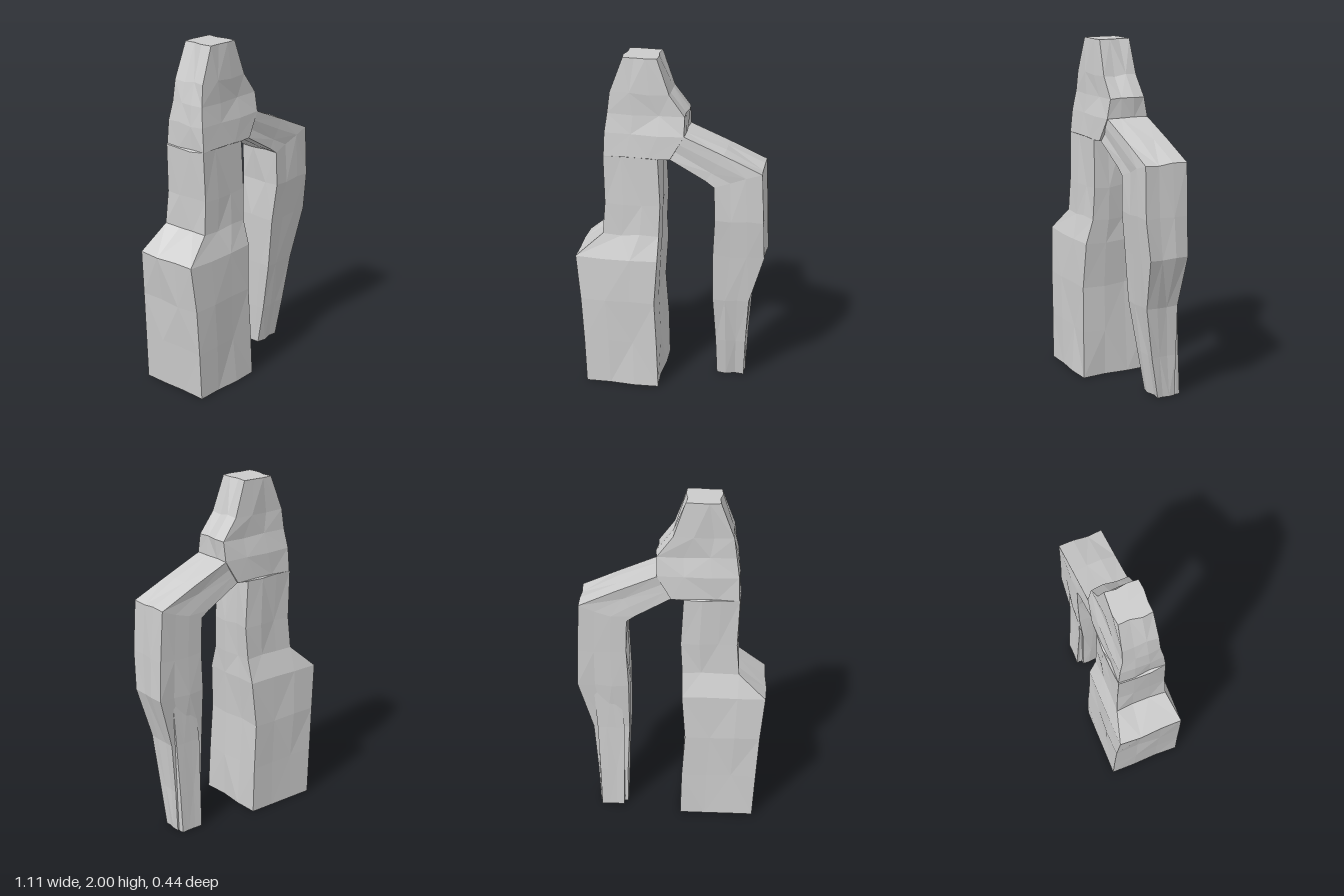
import * as THREE from 'three';

// Small repeatable noise in the range -1..1
function makeNoise(seed) {
  let s = seed;
  return () => {
    s = (s * 16807) % 2147483647;
    return (s / 2147483647) * 2 - 1;
  };
}

// Faceted rock lofted through sections [ax, ay, bx, by, zFront, zBack].
// Each section is a four-sided ring, three segments per side, with chiselled sides.
function rock(name, sections, seed, rough) {
  const noise = makeNoise(seed);
  const SEG = 3, N = SEG * 4;
  const pos = [], index = [];
  sections.forEach(([ax, ay, bx, by, zf, zb], level) => {
    const corners = [[ax, ay, zf], [bx, by, zf], [bx, by, zb], [ax, ay, zb]]
      .map((c) => new THREE.Vector3(...c));
    const isEnd = level === 0 || level === sections.length - 1;
    for (let side = 0; side < 4; side++) {
      for (let k = 0; k < SEG; k++) {
        const p = corners[side].clone().lerp(corners[(side + 1) % 4], k / SEG);
        const amount = k === 0 ? rough * 0.3 : rough;
        if (side % 2 === 0) p.z += noise() * amount;
        else p.x += noise() * amount;
        if (!isEnd && k > 0) p.y += noise() * rough * 0.8;
        pos.push(p.x, p.y, p.z);
      }
    }
  });
  for (let l = 0; l < sections.length - 1; l++) {
    for (let i = 0; i < N; i++) {
      const a = l * N + i, b = l * N + (i + 1) % N;
      if ((i + l) % 2) index.push(a, b, b + N, a, b + N, a + N);
      else index.push(a, b, a + N, b, b + N, a + N);
    }
  }
  // End caps, fanned from the middle of each end ring
  for (const l of [0, sections.length - 1]) {
    const [ax, ay, bx, by, zf, zb] = sections[l];
    const c = pos.length / 3;
    pos.push((ax + bx) / 2, (ay + by) / 2, (zf + zb) / 2);
    for (let i = 0; i < N; i++) {
      const a = l * N + i, b = l * N + (i + 1) % N;
      if (l === 0) index.push(c, b, a);
      else index.push(c, a, b);
    }
  }
  const geo = new THREE.BufferGeometry();
  geo.setAttribute('position', new THREE.Float32BufferAttribute(pos, 3));
  geo.setIndex(index);
  geo.computeVertexNormals();
  const mesh = new THREE.Mesh(geo, new THREE.MeshStandardMaterial({ color: 0xcccccc, flatShading: true }));
  mesh.name = name;
  return mesh;
}

// Level section: left x, right x, height, front z, back z
const flat = (xl, xr, y, zf, zb = -zf) => [xl, y, xr, y, zf, zb];

export function createModel() {
  const group = new THREE.Group();
  group.name = 'rockArch';

  // Tall pillar: wide base, sloping shoulder, shaft, ledge over the arch, tapered top
  group.add(rock('mainPillar', [
    flat(-0.495, -0.06, 0, 0.218),
    flat(-0.505, -0.067, 0.28, 0.213),
    flat(-0.52, -0.085, 0.55, 0.207),
    flat(-0.547, -0.065, 0.82, 0.193),
    flat(-0.39, -0.065, 0.96, 0.15),
    flat(-0.375, -0.055, 1.15, 0.142),
    flat(-0.382, -0.07, 1.43, 0.138),
    flat(-0.38, 0.0, 1.435, 0.138),
    flat(-0.375, 0.08, 1.57, 0.128),
    flat(-0.36, 0.08, 1.68, 0.108),
    flat(-0.345, -0.01, 1.8, 0.104),
    flat(-0.27, -0.077, 2.0, 0.095),
  ], 17, 0.009));

  // Side leg rising into the sloping arm that meets the pillar
  group.add(rock('sideLegAndArm', [
    flat(0.265, 0.43, 0, -0.01, -0.12),
    flat(0.26, 0.44, 0.25, 0.035, -0.118),
    flat(0.245, 0.46, 0.55, 0.08, -0.115),
    flat(0.245, 0.543, 0.85, 0.105, -0.13),
    flat(0.257, 0.535, 1.08, 0.13, -0.13),
    [0.25, 1.28, 0.52, 1.375, 0.127, -0.13],
    [0.2, 1.315, 0.3, 1.475, 0.125, -0.128],
    [0.0, 1.43, 0.08, 1.568, 0.125, -0.128],
    [-0.06, 1.45, 0.0, 1.58, 0.118, -0.12],
  ], 53, 0.009));

  // Narrow ridge up the back of the side leg
  group.add(rock('legRidge', [
    flat(0.285, 0.42, 0, -0.1, -0.158),
    flat(0.28, 0.425, 0.25, -0.1, -0.145),
    flat(0.275, 0.435, 0.55, -0.09, -0.128),
    flat(0.3, 0.45, 0.8, -0.09, -0.12),
  ], 91, 0.004));

  return group;
}
